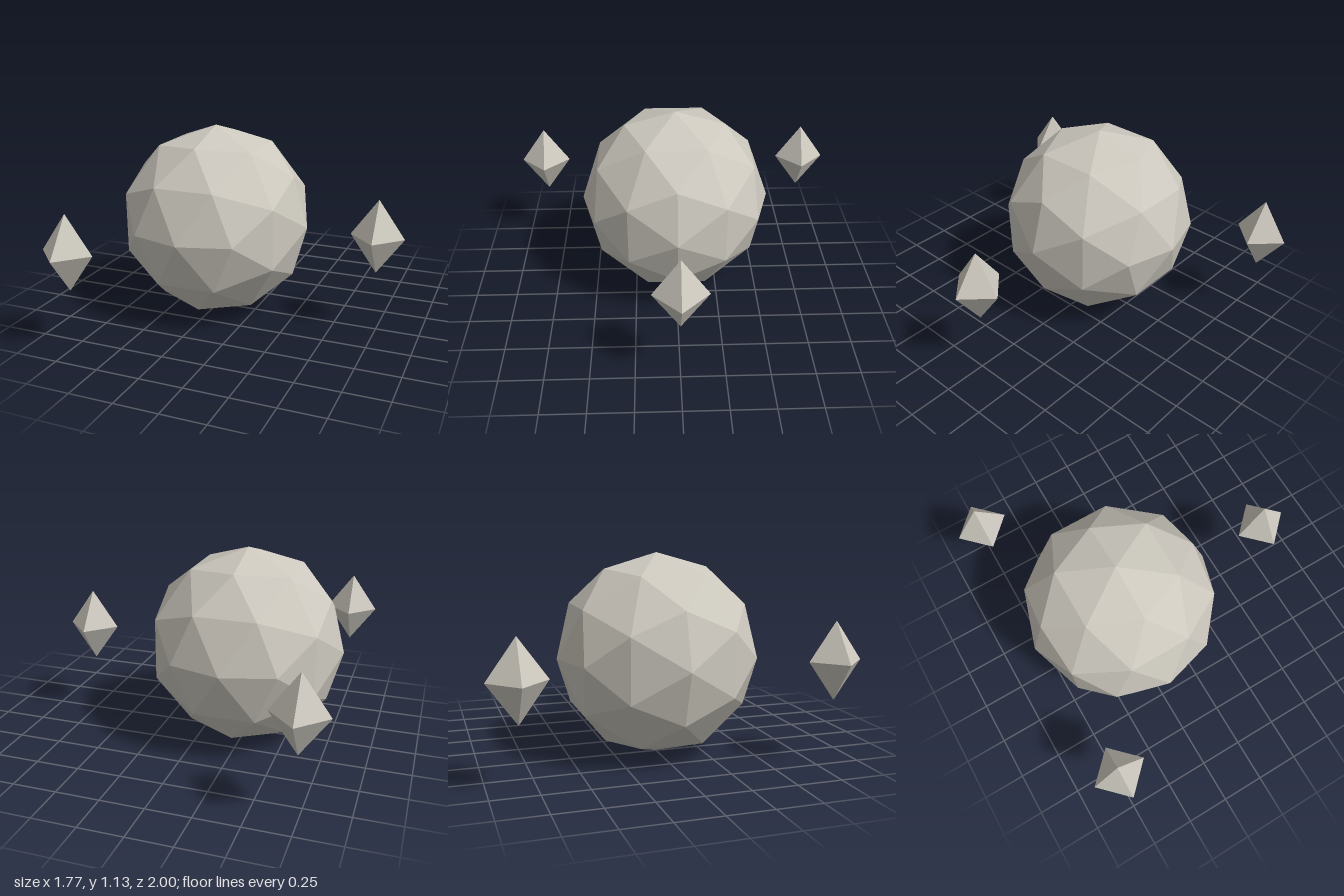
import * as THREE from 'three';

const CENTER = new THREE.Vector3(-0.244, 0.565, 0);
const ORBIT = 0.977;

export function createModel() {
  const model = new THREE.Group();
  model.name = 'orbWithCrystals';

  const stone = new THREE.MeshStandardMaterial({ color: 0xccc8be, flatShading: true });
  stone.name = 'pale stone';

  // Faceted central orb
  const orb = new THREE.Mesh(new THREE.IcosahedronGeometry(0.565, 1).rotateY(Math.PI / 2), stone);
  orb.name = 'orb';
  orb.position.copy(CENTER);
  model.add(orb);

  // Three tall crystals evenly spaced on a ring around the orb
  const crystalGeometry = new THREE.OctahedronGeometry(0.154).scale(1, 1.4, 1);
  for (let i = 0; i < 3; i++) {
    const angle = (i * Math.PI * 2) / 3;
    const crystal = new THREE.Mesh(crystalGeometry, stone);
    crystal.name = `crystal${i + 1}`;
    crystal.position.set(Math.cos(angle) * ORBIT, 0, Math.sin(angle) * ORBIT).add(CENTER);
    model.add(crystal);
  }

  return model;
}
